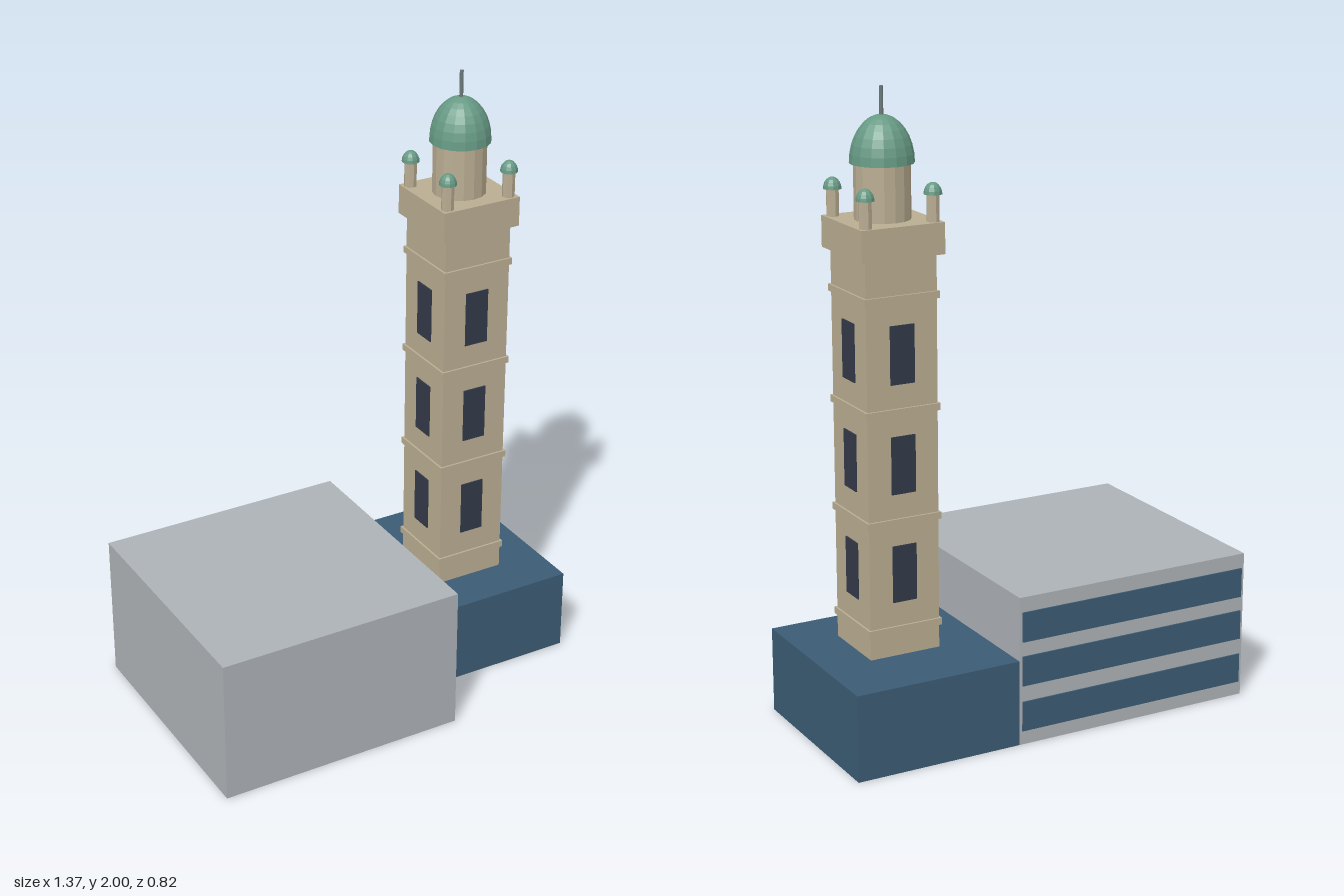
import * as THREE from 'three';

const mat = (name, color) => {
  const m = new THREE.MeshStandardMaterial({ color });
  m.name = name;
  return m;
};

export function createModel() {
  const grey = mat('concrete grey', 0xadb2b6);
  const blue = mat('slate blue', 0x3b5b74);
  const stone = mat('sandstone', 0xbaad92);
  const green = mat('dome green', 0x679a85);
  const glass = mat('window dark', 0x333a48);
  const metal = mat('spire metal', 0x6e7c7c);
  green.side = THREE.DoubleSide;
  green.flatShading = true;
  stone.flatShading = true;

  const model = new THREE.Group();
  const add = (parent, name, geometry, material, x, y, z) => {
    const mesh = new THREE.Mesh(geometry, material);
    mesh.name = name;
    mesh.position.set(x, y, z);
    parent.add(mesh);
    return mesh;
  };
  const box = (w, h, d) => new THREE.BoxGeometry(w, h, d);
  const dome = (r, h, segments, rings) =>
    new THREE.SphereGeometry(r, segments, rings, 0, Math.PI * 2, 0, Math.PI / 2).scale(1, h / r, 1);

  // Main hall with window strips along the back
  add(model, 'hall', box(0.82, 0.48, 0.82), grey, -0.275, 0.24, 0);
  for (const y of [0.093, 0.241, 0.384]) {
    add(model, 'windowStrip', box(0.8, 0.096, 0.008), blue, -0.275, y, -0.411);
  }

  // Low wing under the tower
  add(model, 'wing', box(0.546, 0.275, 0.615), blue, 0.408, 0.1375, -0.1025);

  // Square tower, built around its own axis
  const tower = new THREE.Group();
  tower.name = 'tower';
  tower.position.set(0.408, 0, -0.067);
  model.add(tower);

  add(tower, 'shaft', box(0.234, 1.25, 0.234), stone, 0, 0.89, 0);
  for (const y of [0.36, 0.703, 1.046, 1.39]) {
    add(tower, 'band', box(0.247, 0.022, 0.247), stone, 0, y, 0);
  }

  // Three tall windows on each face
  for (let side = 0; side < 4; side++) {
    const face = new THREE.Group();
    face.name = 'towerFace';
    face.rotation.y = side * Math.PI / 2;
    tower.add(face);
    for (const y of [0.538, 0.881, 1.221]) {
      add(face, 'window', box(0.08, 0.18, 0.006), glass, 0, y, 0.118);
    }
  }

  // Balcony, lantern, dome and spire
  add(tower, 'balcony', box(0.272, 0.096, 0.272), stone, 0, 1.56, 0);
  add(tower, 'lantern', new THREE.CylinderGeometry(0.085, 0.085, 0.17, 16), stone, 0, 1.692, 0);
  add(tower, 'dome', dome(0.097, 0.142, 16, 8), green, 0, 1.775, 0);
  add(tower, 'spire', new THREE.CylinderGeometry(0.006, 0.006, 0.09, 6), metal, 0, 1.955, 0);

  // Corner turrets with small domes
  for (const sx of [-1, 1]) {
    for (const sz of [-1, 1]) {
      add(tower, 'turret', new THREE.CylinderGeometry(0.02, 0.02, 0.084, 8), stone, sx * 0.11, 1.649, sz * 0.11);
      add(tower, 'turretDome', dome(0.028, 0.036, 10, 5), green, sx * 0.11, 1.689, sz * 0.11);
    }
  }
  return model;
}
